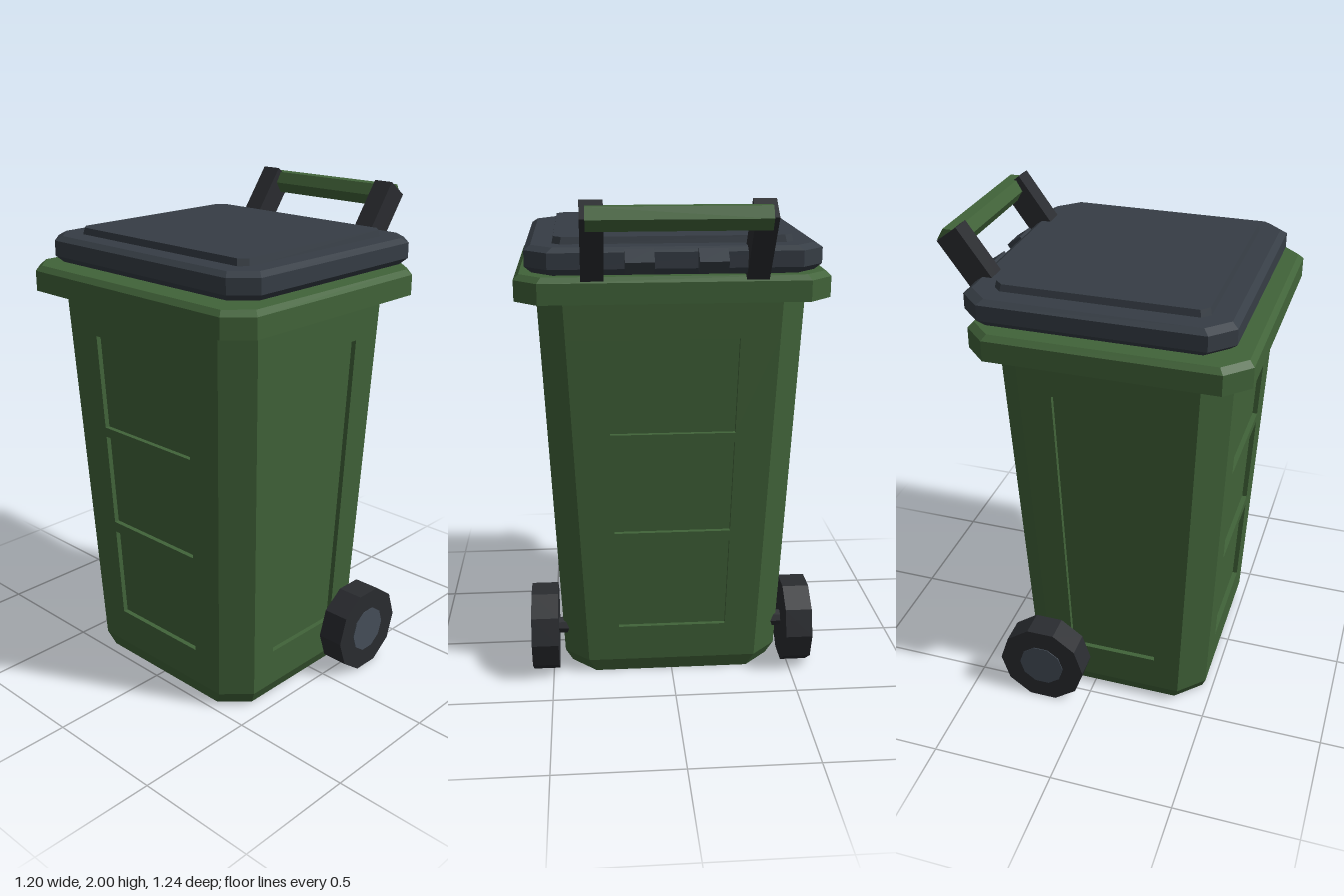
import * as THREE from 'three';

const mat = (color) => new THREE.MeshStandardMaterial({ color, flatShading: true });
const green = mat(0x416339), lidGrey = mat(0x363d45), dark = mat(0x2a2c30), hubGrey = mat(0x454e59);

// Flat-faced geometry from a list of counter-clockwise polygons
function fromPolygons(polys) {
  const pos = [];
  for (const p of polys)
    for (let i = 1; i < p.length - 1; i++) pos.push(...p[0], ...p[i], ...p[i + 1]);
  const g = new THREE.BufferGeometry();
  g.setAttribute('position', new THREE.Float32BufferAttribute(pos, 3));
  g.computeVertexNormals();
  return g;
}

// Rectangle with cut corners, counter-clockwise seen from above
function octagon([y, hx, hz, c], zc) {
  const a = hx - c, b = hz - c;
  return [[-a, hz], [a, hz], [hx, b], [hx, -b], [a, -hz], [-a, -hz], [-hx, -b], [-hx, b]]
    .map(([x, z]) => [x, y, zc + z]);
}

// Closed solid through a stack of octagons, each [y, halfWidth, halfDepth, cornerCut]
function loft(levels, zc, capTop = true) {
  const rings = levels.map((l) => octagon(l, zc));
  const polys = [[...rings[0]].reverse()];
  for (let k = 0; k < rings.length - 1; k++)
    for (let i = 0; i < 8; i++) {
      const j = (i + 1) % 8;
      polys.push([rings[k][i], rings[k][j], rings[k + 1][j], rings[k + 1][i]]);
    }
  if (capTop) polys.push(rings[rings.length - 1]);
  return fromPolygons(polys);
}

const BODY_Z = 0.09, Y0 = 0.06, Y1 = 1.61, CUT = 0.1;

// Four tapered walls with recessed panels, joined by chamfered corners
function wallsGeometry() {
  const polys = [];
  const threePanels = [[0.215, 0.6], [0.645, 1.03], [1.07, 1.455]];
  const onePanel = [[0.215, 1.455]];
  const walls = [0, 1, 2, 3].map((k) => {
    const side = k % 2 === 1;
    const n = [[0, 1], [1, 0], [0, -1], [-1, 0]][k];
    const r = [n[1], -n[0]];
    const at = (s, y, depth = 0) => {
      const t = (y - Y0) / (Y1 - Y0);
      const hx = 0.45 + 0.07 * t, hz = 0.385 + 0.065 * t;
      const out = (side ? hx : hz) - depth, w = s * ((side ? hz : hx) - CUT);
      return [n[0] * out + r[0] * w, y, BODY_Z + n[1] * out + r[1] * w];
    };
    return { at, panels: side ? onePanel : threePanels };
  });
  walls.forEach(({ at, panels }, k) => {
    const cell = (s0, s1, y0, y1, d = 0) =>
      [at(s0, y0, d), at(s1, y0, d), at(s1, y1, d), at(s0, y1, d)];
    const s = 0.625, ys = [Y0, ...panels.flat(), Y1];
    for (let i = 0; i < ys.length - 1; i++) {
      const y0 = ys[i], y1 = ys[i + 1];
      polys.push(cell(-1, -s, y0, y1), cell(s, 1, y0, y1));
      const rim = cell(-s, s, y0, y1);
      if (i % 2 === 0) { polys.push(rim); continue; }
      const floor = cell(-s, s, y0, y1, 0.02);
      polys.push(floor);
      for (let e = 0; e < 4; e++) {
        const f = (e + 1) % 4;
        polys.push([rim[e], rim[f], floor[f], floor[e]]);
      }
    }
    const next = walls[(k + 1) % 4].at;
    polys.push([at(1, Y0), next(-1, Y0), next(-1, Y1), at(1, Y1)]);
  });
  return fromPolygons(polys);
}

export function createModel() {
  const model = new THREE.Group();
  const add = (name, geometry, material, x = 0, y = 0, z = 0, tilt = 0) => {
    const m = new THREE.Mesh(geometry, material);
    m.name = name;
    m.position.set(x, y, z);
    m.rotation.x = tilt;
    model.add(m);
    return m;
  };
  const rod = (radius, length, sides) =>
    new THREE.CylinderGeometry(radius, radius, length, sides).rotateZ(Math.PI / 2);

  // Bin body
  add('bodyWalls', wallsGeometry(), green);
  add('bodyBase', loft([[0, 0.42, 0.365, CUT], [Y0, 0.45, 0.385, CUT]], BODY_Z, false), green);
  add('rim', loft([[1.61, 0.6, 0.53, 0.09], [1.69, 0.6, 0.53, 0.09], [1.71, 0.58, 0.51, 0.085]], BODY_Z), green);

  // Lid with raised top panel
  add('lid', loft([[1.72, 0.53, 0.482, 0.08], [1.745, 0.555, 0.507, 0.085],
    [1.805, 0.555, 0.507, 0.085], [1.822, 0.53, 0.482, 0.08]], 0.042), lidGrey);
  add('lidPanel', loft([[1.82, 0.453, 0.403, 0.03], [1.848, 0.447, 0.397, 0.03]], 0.042), lidGrey);

  // Handle, hinges and wheels, mirrored left and right
  const tilt = -0.63;
  for (const s of [-1, 1]) {
    const side = s > 0 ? 'left' : 'right';
    add(side + 'HandleArm', new THREE.BoxGeometry(0.085, 0.425, 0.1), dark, s * 0.307, 1.8, -0.449, tilt);
    add(side + 'Hinge', new THREE.BoxGeometry(0.108, 0.06, 0.07), lidGrey, s * 0.135, 1.773, -0.476, tilt);
    add(side + 'Wheel', rod(0.183, 0.11, 10), dark, s * 0.53, 0.175, -0.188);
    add(side + 'WheelHub', rod(0.096, 0.01, 10), hubGrey, s * 0.583, 0.175, -0.188);
  }
  add('handleGrip', rod(0.05, 0.66, 6), green, 0, 1.94, -0.572);
  add('axle', rod(0.035, 0.98, 8), dark, 0, 0.175, -0.188);

  return model;
}
